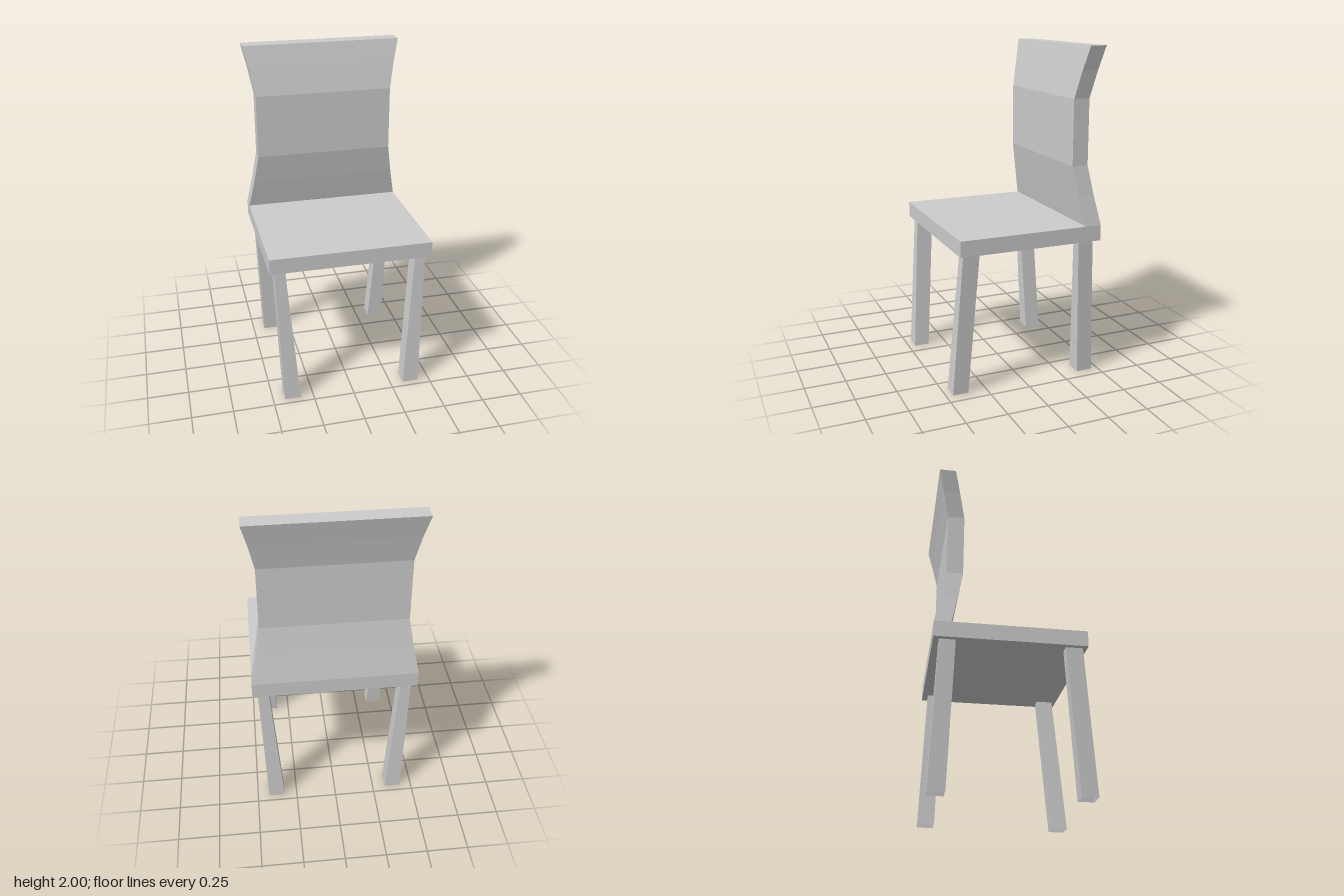
import * as THREE from 'three';

// Flat-faced loft through rectangular sections { y, x: [min, max], z: [min, max] }, listed bottom to top
function loft(sections, capTop) {
  const rings = sections.map(({ y, x, z }) => [
    [x[0], y, z[1]], [x[1], y, z[1]], [x[1], y, z[0]], [x[0], y, z[0]],
  ]);
  const positions = [];
  const quad = (a, b, c, d) => positions.push(...a, ...b, ...c, ...a, ...c, ...d);
  for (let i = 0; i < rings.length - 1; i++) {
    for (let j = 0; j < 4; j++) {
      const k = (j + 1) % 4;
      quad(rings[i][j], rings[i][k], rings[i + 1][k], rings[i + 1][j]);
    }
  }
  if (capTop) quad(...rings[rings.length - 1]);
  const geometry = new THREE.BufferGeometry();
  geometry.setAttribute('position', new THREE.Float32BufferAttribute(positions, 3));
  geometry.computeVertexNormals();
  return geometry;
}

export function createModel() {
  const chair = new THREE.Group();
  chair.name = 'chair';
  const grey = new THREE.MeshStandardMaterial({ color: 0xcccccc, side: THREE.DoubleSide });
  grey.name = 'light grey';

  const add = (name, geometry) => {
    const mesh = new THREE.Mesh(geometry, grey);
    mesh.name = name;
    chair.add(mesh);
    return mesh;
  };

  // Seat slab
  const seat = add('seat', new THREE.BoxGeometry(0.98, 0.095, 0.885));
  seat.position.set(0, 0.9075, -0.0165);

  // Backrest: waisted and bowed forward in the middle; [height, half width, front z]
  const profile = [
    [0.955, 0.49, -0.36], [1.13, 0.456, -0.326], [1.31, 0.427, -0.295],
    [1.7, 0.427, -0.295], [1.86, 0.457, -0.328], [2, 0.49, -0.36],
  ];
  add('backrest', loft(profile.map(([y, w, z]) => ({ y, x: [-w, w], z: [z - 0.099, z] })), true));

  // Splayed legs, open at the feet, mirrored left and right
  const legs = {
    front: { foot: [0.365, 0.46], top: [0.3, 0.4] },
    back: { foot: [-0.459, -0.36], top: [-0.425, -0.33] },
  };
  for (const [place, { foot, top }] of Object.entries(legs)) {
    for (const side of [1, -1]) {
      const span = (inner, outer) => (side > 0 ? [inner, outer] : [-outer, -inner]);
      add(`${place}${side > 0 ? 'Left' : 'Right'}Leg`, loft([
        { y: 0, x: span(0.329, 0.427), z: foot },
        { y: 0.86, x: span(0.395, 0.459), z: top },
      ], false));
    }
  }
  return chair;
}
